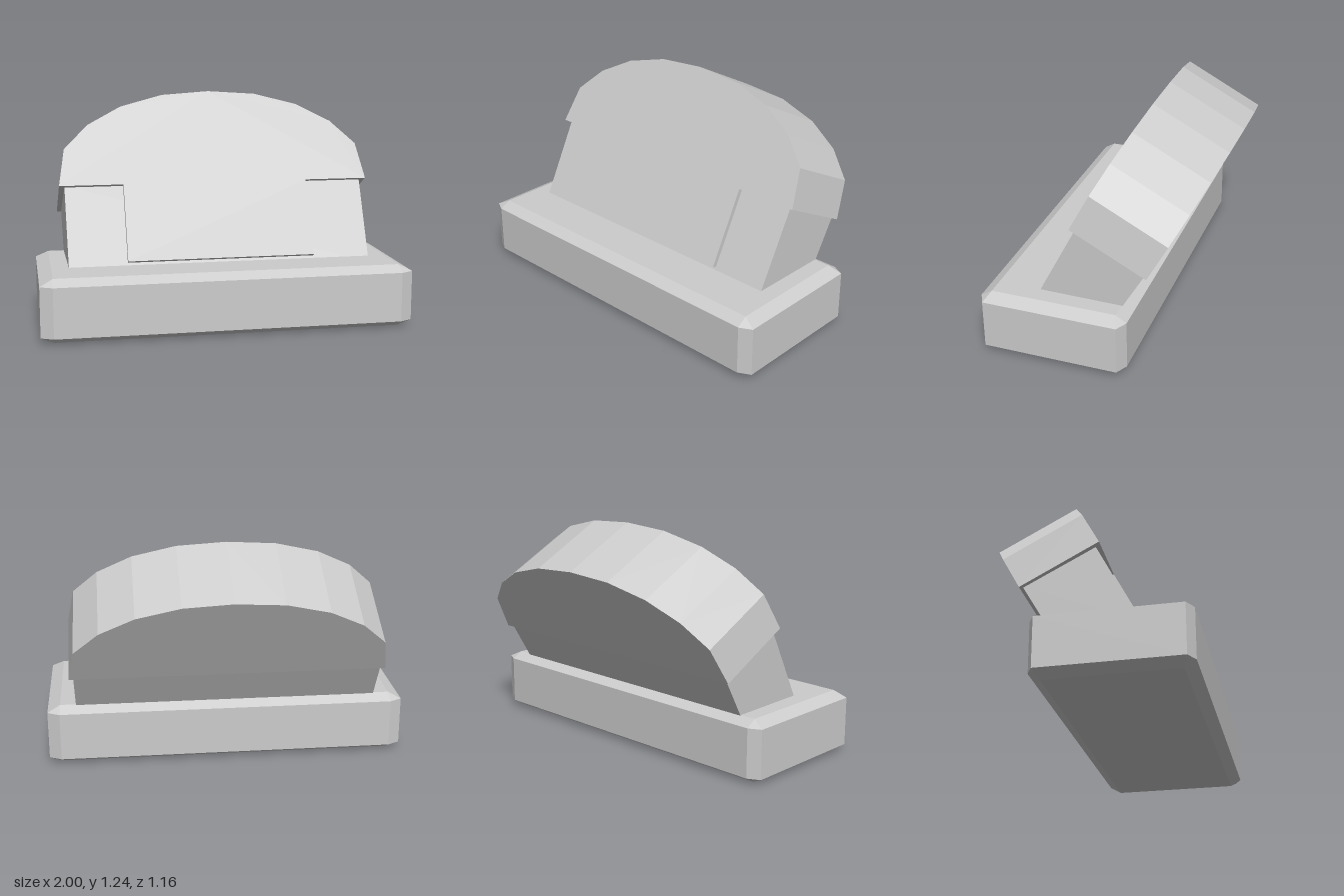
import * as THREE from 'three';
import { ConvexGeometry } from 'three/addons/geometries/ConvexGeometry.js';

export function createModel() {
  const model = new THREE.Group();
  const grey = new THREE.MeshStandardMaterial({ color: 0xcccccc });

  // Convex, hard-edged part from its corners, mirrored across x
  const hull = (name, corners, parent) => {
    const points = corners.flatMap(([x, y, z]) =>
      x === 0 ? [new THREE.Vector3(0, y, z)]
        : [new THREE.Vector3(x, y, z), new THREE.Vector3(-x, y, z)]);
    const mesh = new THREE.Mesh(new ConvexGeometry(points), grey);
    mesh.name = name;
    parent.add(mesh);
  };

  // Base block with bevelled edges and clipped corners
  const base = new THREE.Group();
  base.name = 'base';
  base.position.set(0, 0.17, 0.175);
  model.add(base);
  const baseCorners = [];
  for (const sy of [-1, 1]) {
    for (const sz of [-1, 1]) {
      baseCorners.push(
        [0.93, 0.17 * sy, 0.345 * sz],
        [1, 0.135 * sy, 0.37 * sz],
        [0.933, 0.135 * sy, 0.405 * sz]);
    }
  }
  hull('baseBlock', baseCorners, base);

  // Head leans backwards; its front face lies on local z = 0
  const head = new THREE.Group();
  head.name = 'head';
  head.position.set(0, 0.365, 0.3);
  head.rotation.x = THREE.MathUtils.degToRad(-27.4);
  model.add(head);

  // Domed cap, slightly deeper towards its crown
  const dome = [[0, 0.99], [0.27, 0.97], [0.51, 0.902], [0.7, 0.794], [0.835, 0.653], [0.87, 0.439]];
  hull('domedCap', dome.flatMap(([x, y]) => [[x, y, 0], [x, y, -0.452 - 0.022 * y]]), head);

  // Raised front panel, flush with the cap
  const panel = new THREE.Mesh(new THREE.BoxGeometry(1.035, 0.439, 0.04), grey);
  panel.name = 'frontPanel';
  panel.position.set(0, 0.2195, -0.02);
  head.add(panel);

  // Tapered neck sinking into the base
  hull('neck', [
    [0.84, 0.45, -0.026], [0.845, 0.45, -0.446],
    [0.835, -0.05, -0.026], [0.838, -0.05, -0.423],
  ], head);

  return model;
}
